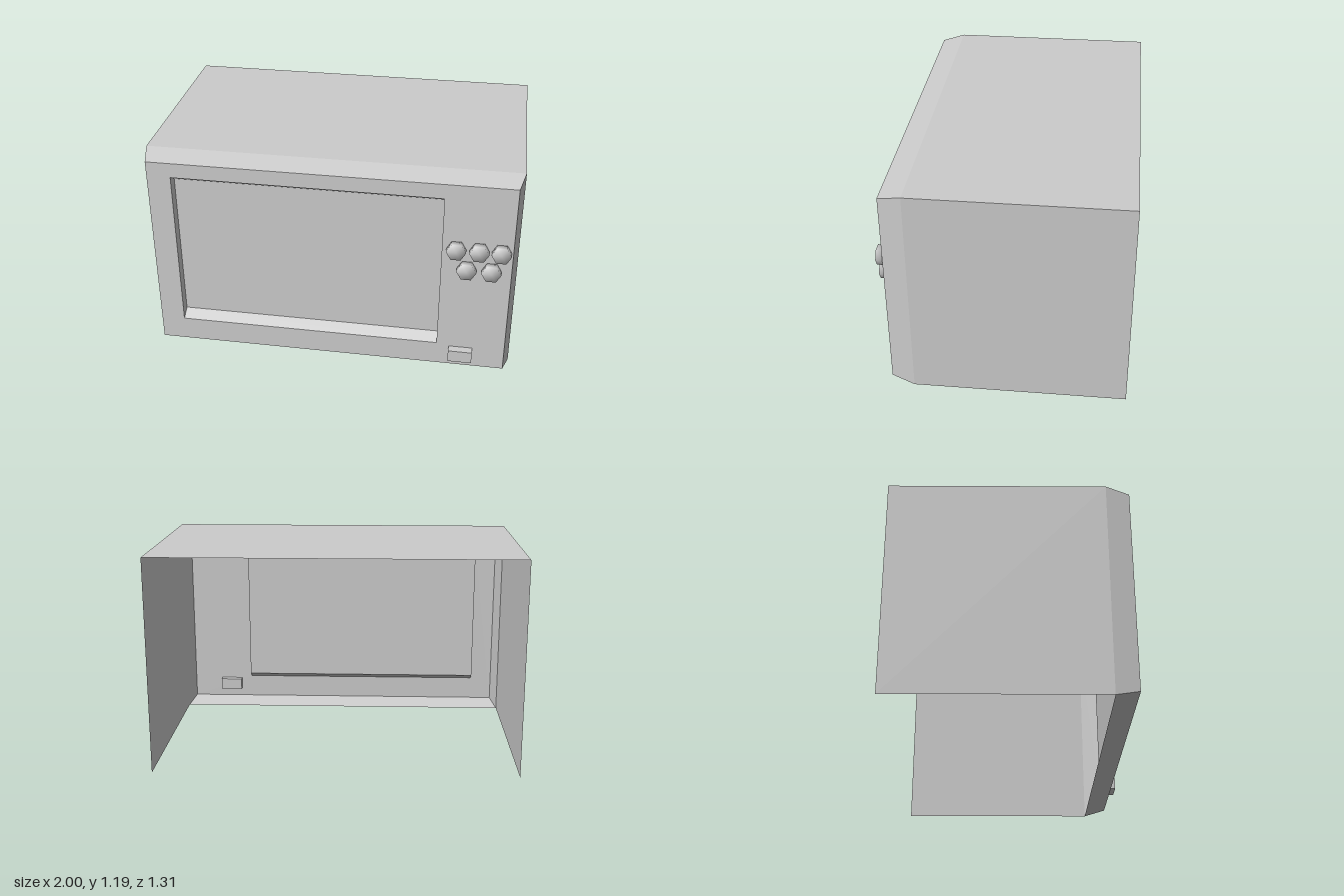
import * as THREE from 'three';
import { mergeVertices } from 'three/addons/utils/BufferGeometryUtils.js';

const material = new THREE.MeshStandardMaterial({ color: 0xcccccc, side: THREE.DoubleSide });

// Rectangular ring, counter-clockwise seen from the front: bottom left first
const ring = (x0, x1, y0, y1, z) => [[x0, y0, z], [x1, y0, z], [x1, y1, z], [x0, y1, z]];

// Flat-faced walls joining two rings; edges: 0 bottom, 1 right, 2 top, 3 left
function walls(back, front, edges = [0, 1, 2, 3]) {
  const points = [];
  for (const i of edges) {
    const j = (i + 1) % 4;
    points.push(front[i], back[i], back[j], front[i], back[j], front[j]);
  }
  const geometry = new THREE.BufferGeometry();
  geometry.setAttribute('position', new THREE.Float32BufferAttribute(points.flat(), 3));
  geometry.computeVertexNormals();
  return geometry;
}

const outline = (points, Type) => new Type(points.map(([x, y]) => new THREE.Vector2(x, y)));

export function createModel() {
  const model = new THREE.Group();
  model.name = 'monitor';
  const add = (name, geometry, parent = model) => {
    const mesh = new THREE.Mesh(geometry, material);
    mesh.name = name;
    parent.add(mesh);
    return mesh;
  };

  const faceZ = 0.61;
  const rear = ring(-1, 1, 0, 1.19, -0.655);
  const shoulder = ring(-1, 1, 0, 1.19, 0.485);
  const face = ring(-0.97, 0.97, 0.03, 1.16, faceZ);
  const opening = ring(-0.84, 0.6, 0.165, 1.077, faceZ);
  const screenEdge = ring(-0.84, 0.6, 0.2, 1.04, 0.55);

  // Casing: sides and top only, open at the rear and underneath
  add('casing', walls(rear, shoulder, [1, 2, 3]));
  add('frontChamfer', walls(shoulder, face));

  // Front panel with the screen opening
  const panel = outline(face, THREE.Shape);
  panel.holes.push(outline(opening, THREE.Path));
  add('frontPanel', new THREE.ShapeGeometry(panel)).position.z = faceZ;

  // Recessed screen with sloping top and bottom edges
  add('screenRecess', walls(opening, screenEdge));
  add('screen', new THREE.ShapeGeometry(outline(screenEdge, THREE.Shape))).position.z = 0.55;

  // Hexagonal knobs with soft shading across their edges
  const knobs = new THREE.Group();
  knobs.name = 'knobs';
  model.add(knobs);
  let knob = new THREE.CylinderGeometry(0.052, 0.052, 0.036, 6, 1, false, Math.PI / 2).rotateX(Math.PI / 2);
  knob.deleteAttribute('uv');
  knob.deleteAttribute('normal');
  knob = mergeVertices(knob);
  knob.computeVertexNormals();
  const centres = [[0.675, 0.785], [0.795, 0.785], [0.91, 0.785], [0.735, 0.668], [0.865, 0.668]];
  for (const [x, y] of centres) add('knob', knob, knobs).position.set(x, y, 0.63);

  // Power button passing through the panel
  add('powerButton', new THREE.BoxGeometry(0.13, 0.07, 0.08)).position.set(0.732, 0.116, 0.615);

  return model;
}
